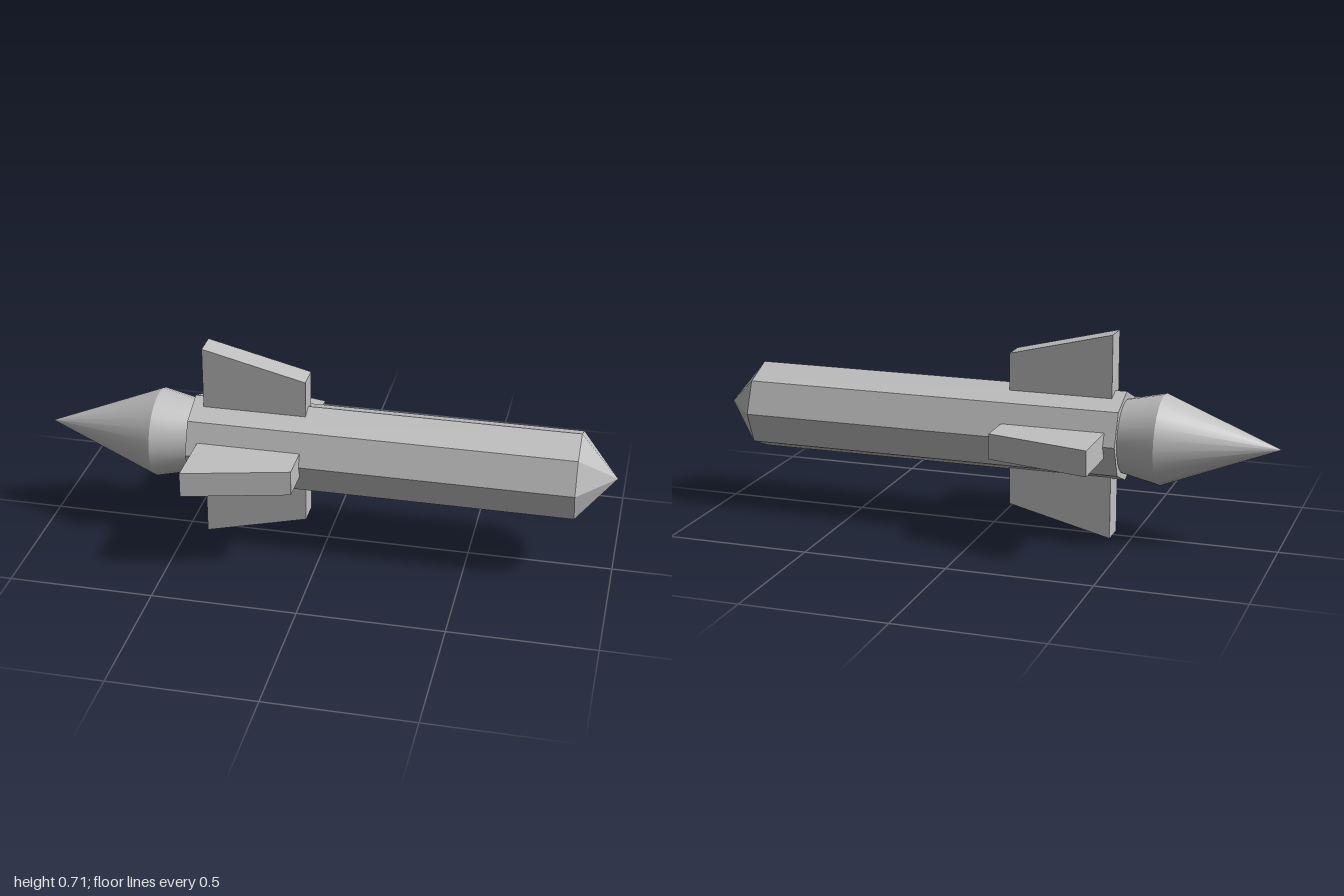
import * as THREE from 'three';
import { toCreasedNormals } from 'three/addons/utils/BufferGeometryUtils.js';

const AXIS_Y = 0.356;
const RADIUS = 0.156;

export function createModel() {
  const model = new THREE.Group();
  model.name = 'rocket';
  const grey = new THREE.MeshStandardMaterial({ color: 0xc0c0c0 });
  grey.name = 'grey';

  // Everything is built around the rocket's long axis, then raised.
  const rocket = new THREE.Group();
  rocket.name = 'rocketBody';
  rocket.position.y = AXIS_Y;
  model.add(rocket);

  const add = (geometry, name, crease) => {
    const mesh = new THREE.Mesh(toCreasedNormals(geometry, crease), grey);
    mesh.name = name;
    rocket.add(mesh);
    return mesh;
  };

  // Lathe around the x axis from [x, radius] pairs
  const turned = (profile, sides) =>
    new THREE.LatheGeometry(profile.map(([x, r]) => new THREE.Vector2(r, x)), sides)
      .rotateZ(-Math.PI / 2);

  // Faceted octagonal hull with its pointed nose
  add(turned([[-0.47, 0], [-0.47, RADIUS], [0.865, RADIUS]], 8), 'hull', 0.1);
  add(turned([[0.865, RADIUS], [0.995, 0]], 8), 'nose', 0.1);

  // Smooth tapering exhaust plume at the rear
  add(turned([[-1, 0], [-0.6, RADIUS], [-0.42, 0.116]], 24), 'exhaust', 0.5);

  // Four thick fins with slanted outer edges
  const outline = new THREE.Shape([
    new THREE.Vector2(-0.43, 0.08),
    new THREE.Vector2(-0.07, 0.08),
    new THREE.Vector2(-0.07, 0.267),
    new THREE.Vector2(-0.43, 0.356),
  ]);
  const finGeometry = new THREE.ExtrudeGeometry(outline, { depth: 0.088, bevelEnabled: false })
    .translate(0, 0, -0.044);
  ['topFin', 'frontFin', 'bottomFin', 'backFin'].forEach((name, i) => {
    add(finGeometry, name, 0.1).rotation.x = (i * Math.PI) / 2;
  });

  return model;
}
